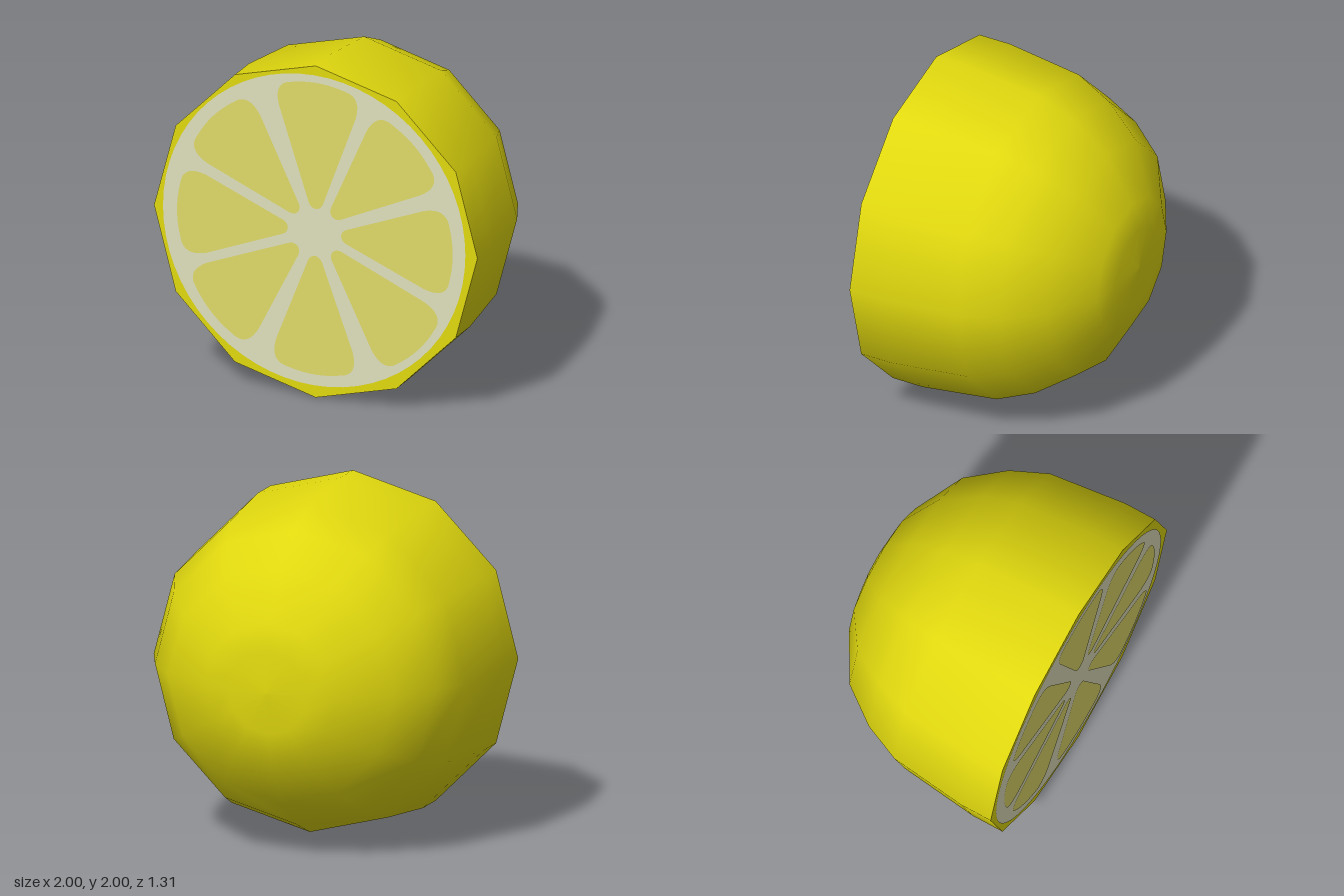
import * as THREE from 'three';

const rindMat = new THREE.MeshStandardMaterial({ color: 0xe0d80e });
rindMat.name = 'yellow rind';
const pithMat = new THREE.MeshStandardMaterial({ color: 0xdfdfbc });
pithMat.name = 'pale pith';
const pulpMat = new THREE.MeshStandardMaterial({ color: 0xdfda68 });
pulpMat.name = 'yellow pulp';

const FACE_Z = 0.653;

// Rounded wedge pointing along +x, from inner radius a to outer radius b
function wedgeShape(a, b) {
  const s = new THREE.Shape();
  s.moveTo(a, 0);
  s.quadraticCurveTo(a, 0.035, a + 0.05, 0.05);
  s.lineTo(b - 0.18, 0.235);
  s.bezierCurveTo(b - 0.08, 0.265, b - 0.03, 0.235, b - 0.02, 0.16);
  s.quadraticCurveTo(b, 0.08, b, 0);
  s.quadraticCurveTo(b, -0.08, b - 0.02, -0.16);
  s.bezierCurveTo(b - 0.03, -0.235, b - 0.08, -0.265, b - 0.18, -0.235);
  s.lineTo(a + 0.05, -0.05);
  s.quadraticCurveTo(a, -0.035, a, 0);
  return s;
}

export function createModel() {
  const model = new THREE.Group();
  model.name = 'halfCitrus';
  const add = (name, geometry, material, x, y, z) => {
    const mesh = new THREE.Mesh(geometry, material);
    mesh.name = name;
    mesh.position.set(x, y, z);
    model.add(mesh);
    return mesh;
  };

  // Smooth twelve-sided rind, from the back pole to the cut rim
  const profile = [
    [0, -0.655], [0.24, -0.64], [0.4, -0.605], [0.685, -0.44],
    [0.85, -0.22], [0.946, 0], [1, 0.46], [1, FACE_Z],
  ].map(([r, z]) => new THREE.Vector2(r, z));
  add('rind', new THREE.LatheGeometry(profile, 12).rotateX(Math.PI / 2), rindMat, 0, 1, 0);

  // Flat cut face with the round pith on top
  add('cutRim', new THREE.CircleGeometry(1, 12), rindMat, 0, 1, FACE_Z);
  add('pith', new THREE.CircleGeometry(0.935, 64), pithMat, -0.008, 1.008, FACE_Z + 0.003);

  // Eight slightly uneven pulp wedges: angle in degrees, inner and outer radius
  const wedges = [
    [0, 0.16, 0.85], [45.5, 0.15, 0.87], [89, 0.14, 0.9], [136.5, 0.15, 0.87],
    [180, 0.17, 0.855], [222.5, 0.15, 0.87], [269.5, 0.145, 0.86], [316.5, 0.15, 0.88],
  ];
  for (const [angle, a, b] of wedges) {
    const wedge = add('pulpWedge', new THREE.ShapeGeometry(wedgeShape(a, b), 10), pulpMat, 0, 1, FACE_Z + 0.006);
    wedge.rotation.z = THREE.MathUtils.degToRad(angle);
  }
  return model;
}
